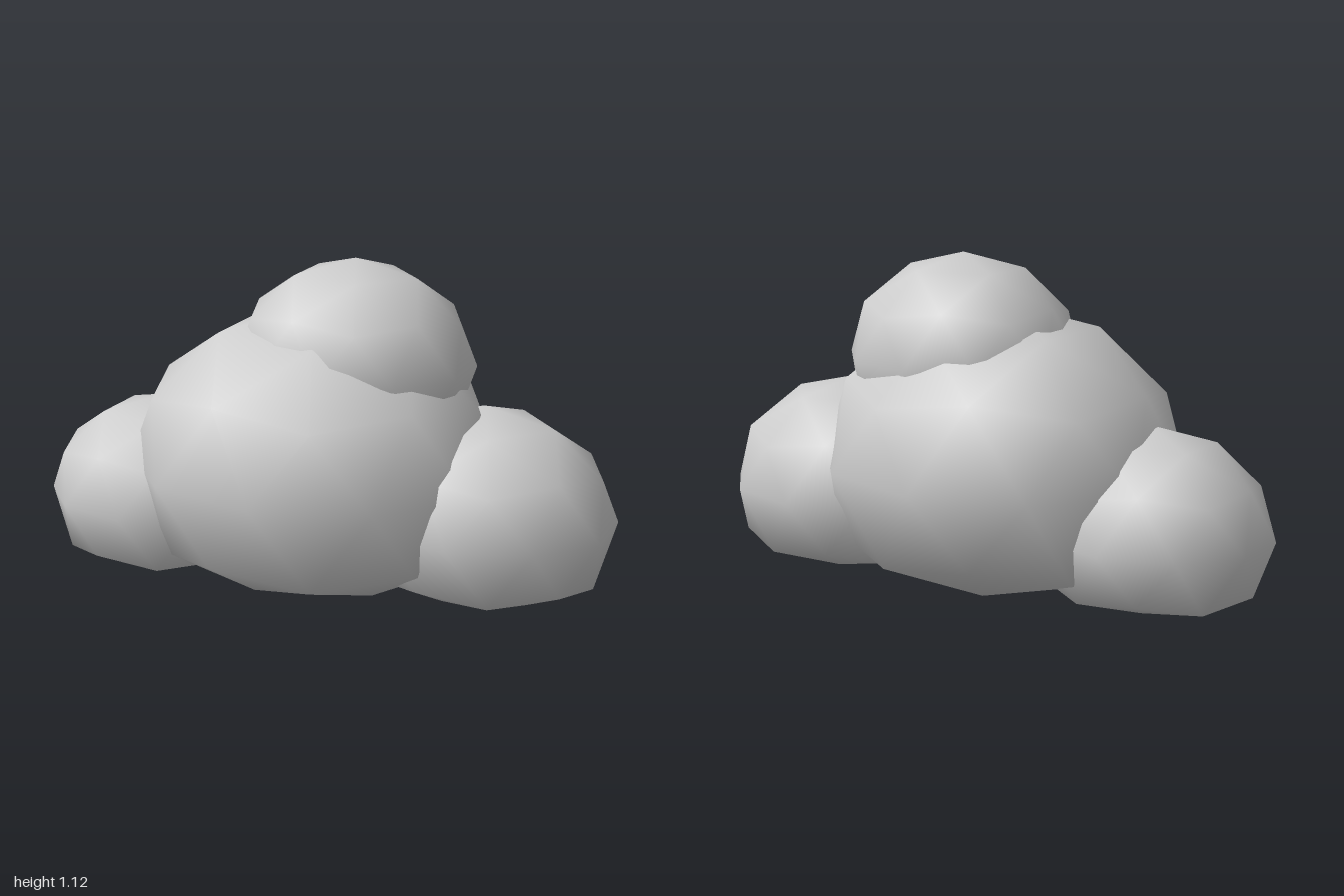
import * as THREE from 'three';
import { mergeVertices } from 'three/addons/utils/BufferGeometryUtils.js';

// Low-poly ball with a vertex at each pole, stretched, placed and pressed flat at the ground
function puff(name, material, [cx, cy, cz], [rx, ry, rz]) {
  let geo = new THREE.IcosahedronGeometry(1, 1);
  geo.rotateZ(-Math.atan(2 / (1 + Math.sqrt(5))));
  geo.scale(rx, ry, rz);
  geo.translate(cx, cy, cz);
  geo.deleteAttribute('normal');
  geo.deleteAttribute('uv');
  geo = mergeVertices(geo, 1e-4);

  // Flatten everything below the floor level into a shallow base
  const floor = 0.024, squash = 0.127;
  const pos = geo.attributes.position;
  for (let i = 0; i < pos.count; i++) {
    const y = pos.getY(i);
    if (y < floor) pos.setY(i, floor + (y - floor) * squash);
  }
  geo.computeVertexNormals();

  const mesh = new THREE.Mesh(geo, material);
  mesh.name = name;
  return mesh;
}

export function createModel() {
  const group = new THREE.Group();
  group.name = 'cloud';
  const paleGrey = new THREE.MeshStandardMaterial({ color: 0xcccccc });
  paleGrey.name = 'paleGrey';

  group.add(
    puff('mainPuff', paleGrey, [-0.03, 0.395, 0], [0.66, 0.56, 0.56]),
    puff('topPuff', paleGrey, [0.1, 0.76, -0.04], [0.42, 0.36, 0.355]),
    puff('leftPuff', paleGrey, [0.56, 0.26, -0.065], [0.46, 0.39, 0.39]),
    puff('rightPuff', paleGrey, [-0.6, 0.23, 0.03], [0.42, 0.36, 0.36])
  );
  return group;
}
